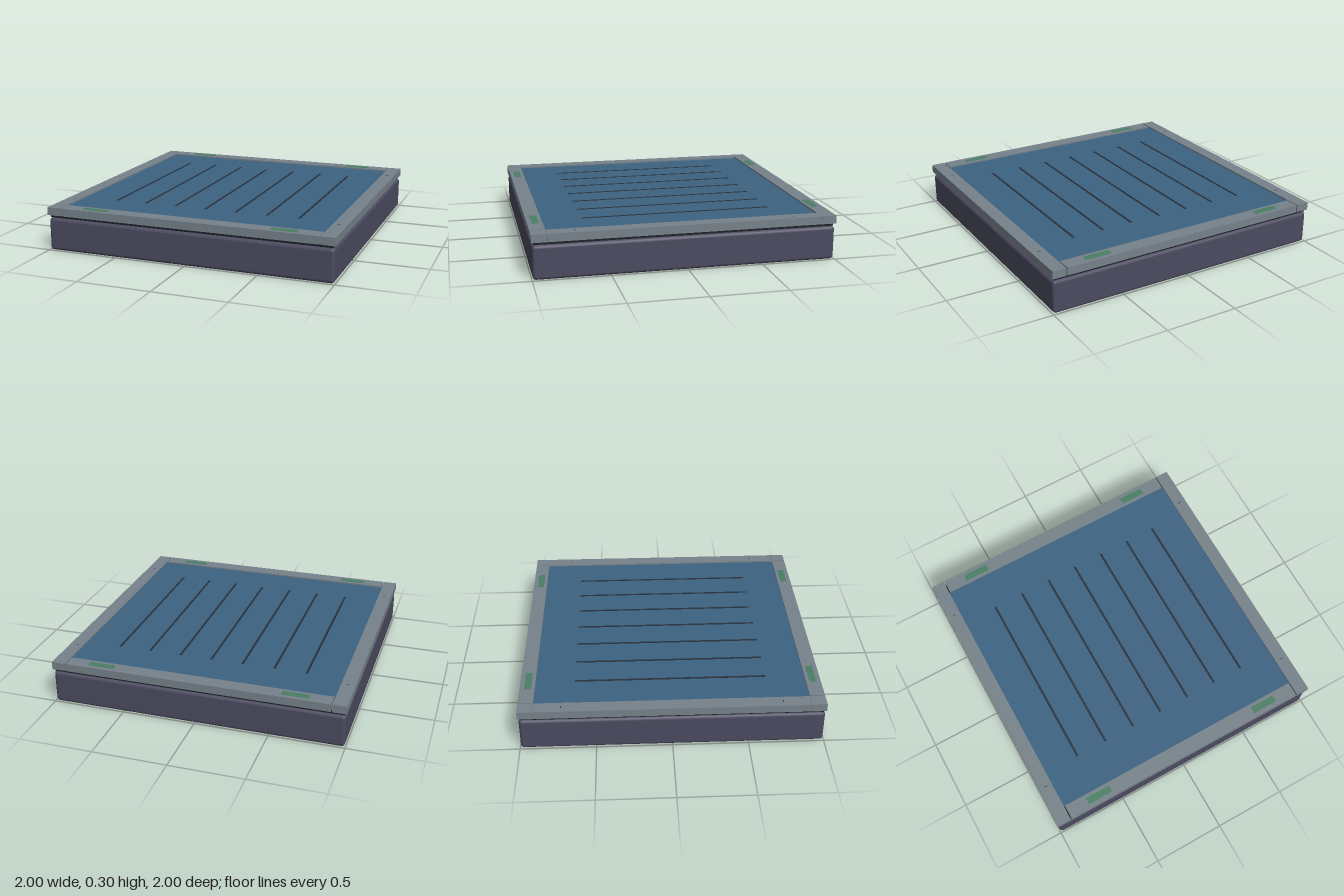
import * as THREE from 'three';
import { RoundedBoxGeometry } from 'three/addons/geometries/RoundedBoxGeometry.js';

const mat = (color) => new THREE.MeshStandardMaterial({ color });
const materials = {
  base: mat(0x4b4b60),
  gasket: mat(0x1b2026),
  frame: mat(0x77828a),
  panel: mat(0x3c6382),
  groove: mat(0x28323c),
  pad: mat(0x4a8066),
};

export function createModel() {
  const model = new THREE.Group();
  model.name = 'floorTile';

  const add = (name, geometry, material, x, y, z) => {
    const mesh = new THREE.Mesh(geometry, material);
    mesh.name = name;
    mesh.position.set(x, y, z);
    model.add(mesh);
  };
  // Box given by its centre in x and z and its bottom and top heights
  const slab = (name, material, x, z, width, depth, bottom, top) =>
    add(name, new THREE.BoxGeometry(width, top - bottom, depth), material, x, (bottom + top) / 2, z);

  // Body with softened edges
  add('base', new RoundedBoxGeometry(1.99, 0.225, 1.99, 3, 0.022), materials.base, 0, 0.1125, 0);

  // Dark seal, with a narrower core carrying the top
  slab('gasket', materials.gasket, 0, 0, 1.97, 1.97, 0.229, 0.241);
  slab('core', materials.gasket, 0, 0, 1.93, 1.93, 0.215, 0.249);

  // Inset top panel
  slab('panel', materials.panel, 0, 0, 1.812, 1.8, 0.247, 0.29);

  // Long grooves across the panel
  for (let i = -3; i <= 3; i++) {
    slab('groove', materials.groove, i * 0.22, 0, 0.015, 1.275, 0.285, 0.2925);
  }

  // Frame rails, corner blocks and inlays, mirrored on both sides
  for (const s of [-1, 1]) {
    slab('crossRail', materials.frame, 0, s * 0.95, 1.796, 0.1, 0.246, 0.3);
    slab('sideRail', materials.frame, s * 0.953, 0, 0.094, 1.798, 0.246, 0.3);
    for (const t of [-1, 1]) {
      slab('cornerBlock', materials.frame, s * 0.953, t * 0.95, 0.094, 0.1, 0.246, 0.3);
      slab('gripPad', materials.pad, s * 0.66, t * 0.947, 0.18, 0.046, 0.29, 0.3015);
      slab('railMark', materials.groove, s * 0.95, t * 0.72, 0.022, 0.004, 0.29, 0.301);
    }
  }

  return model;
}
